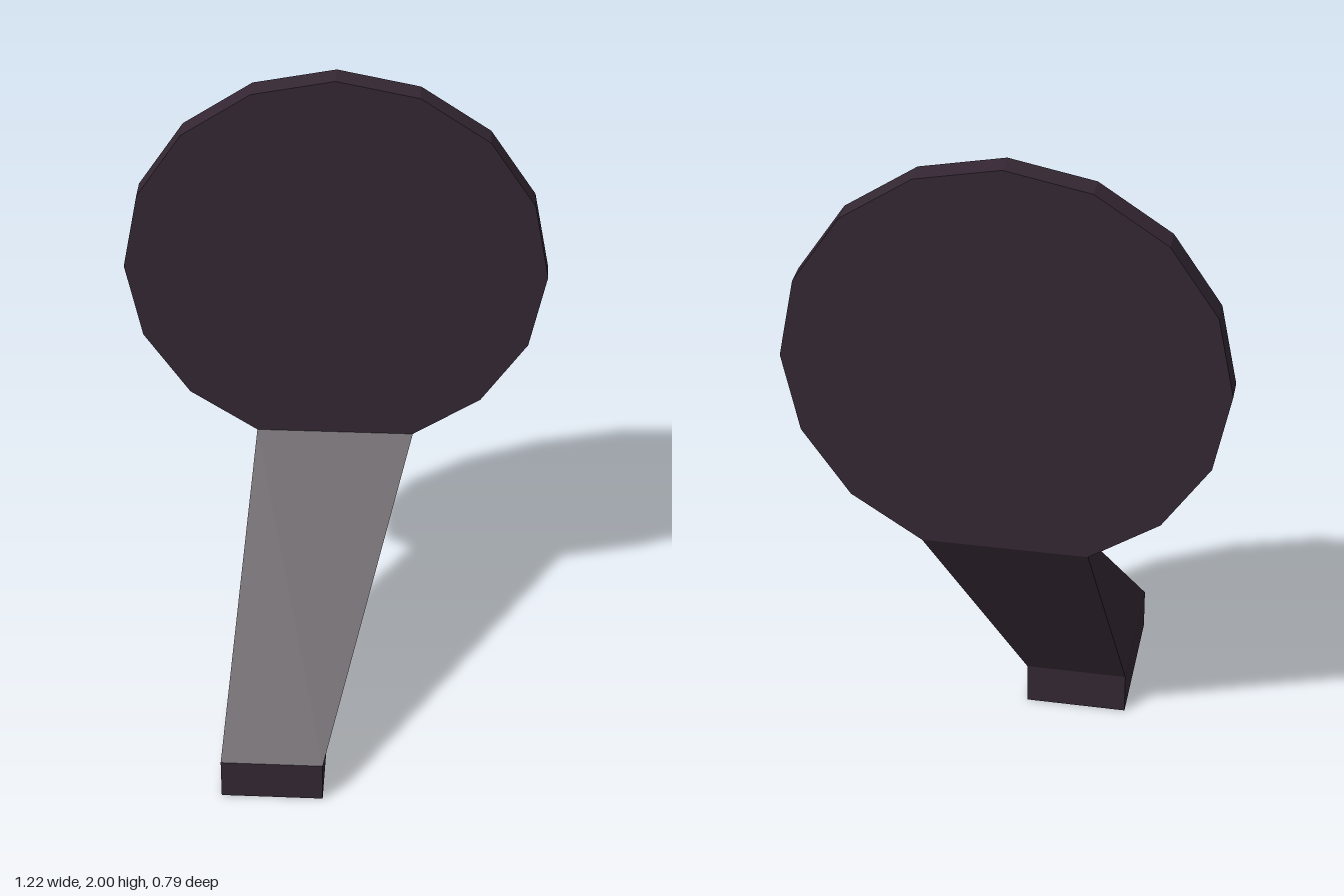
import * as THREE from 'three';

const CENTRE_Y = 1.39, RADIUS = 0.61, BACK = -0.393, FRONT = -0.322;
const step = Math.PI / 8;
const chordX = RADIUS * Math.sin(step);
const chordY = CENTRE_Y - RADIUS * Math.cos(step);

// Open four-sided tube between two horizontal rectangles { x0, x1, z0, z1, y }
function loft(a, b) {
  const ring = (s) => [
    [s.x0, s.y, s.z1], [s.x1, s.y, s.z1], [s.x1, s.y, s.z0], [s.x0, s.y, s.z0],
  ];
  const low = ring(a), high = ring(b), pos = [];
  for (let i = 0; i < 4; i++) {
    const j = (i + 1) % 4;
    // split each side along the same diagonal on left and right
    if (i === 1) pos.push(...low[i], ...low[j], ...high[j], ...low[i], ...high[j], ...high[i]);
    else pos.push(...low[i], ...low[j], ...high[i], ...low[j], ...high[j], ...high[i]);
    if (i === 3) {
      pos.length -= 18;
      pos.push(...low[i], ...low[j], ...high[i], ...low[j], ...high[j], ...high[i]);
    }
  }
  const g = new THREE.BufferGeometry();
  g.setAttribute('position', new THREE.Float32BufferAttribute(pos, 3));
  g.computeVertexNormals();
  return g;
}

export function createModel() {
  const group = new THREE.Group();
  const darkPlum = new THREE.MeshStandardMaterial({ color: 0x342733, flatShading: true });
  darkPlum.name = 'dark plum';
  const add = (name, geometry) => {
    const mesh = new THREE.Mesh(geometry, darkPlum);
    mesh.name = name;
    group.add(mesh);
    return mesh;
  };

  // Foot block, offset to one side
  add('foot', new THREE.BoxGeometry(0.3, 0.13, 0.43)).position.set(-0.15, 0.065, 0.178);

  // Leaning arm tapering from the foot to the thin disc
  add('arm', loft(
    { x0: -0.3, x1: 0, z0: -0.037, z1: 0.393, y: 0.13 },
    { x0: -chordX, x1: chordX, z0: BACK, z1: FRONT, y: chordY },
  ));

  // Sixteen-sided disc with its lowest corner cut flat where the arm joins
  const outline = [];
  for (let i = 0; i < 16; i++) {
    if (i === 8) continue;
    const t = Math.PI / 2 + i * step;
    outline.push(new THREE.Vector2(Math.cos(t) * RADIUS, CENTRE_Y + Math.sin(t) * RADIUS));
  }
  const disc = new THREE.ExtrudeGeometry(new THREE.Shape(outline), {
    depth: FRONT - BACK, bevelEnabled: false,
  });
  add('disc', disc).position.z = BACK;

  return group;
}
